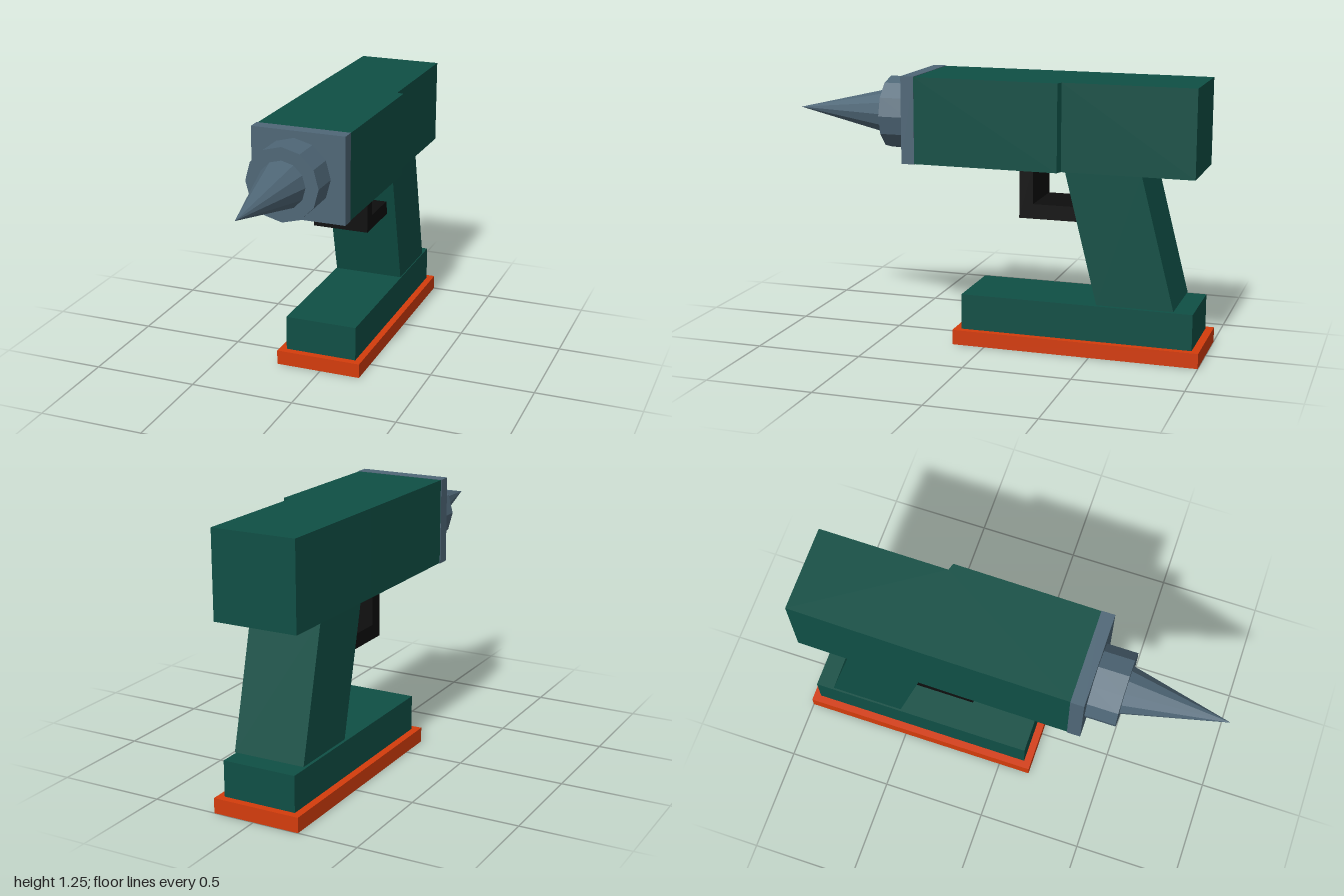
import * as THREE from 'three';

const paint = (name, color) => {
  const m = new THREE.MeshStandardMaterial({ color, flatShading: true });
  m.name = name;
  return m;
};

export function createModel() {
  const green = paint('dark green', 0x0f4f45);
  const slate = paint('slate grey', 0x4f6777);
  const orange = paint('orange', 0xd43c0c);
  const black = paint('black', 0x0e0e0e);

  const group = new THREE.Group();
  group.name = 'powerDrill';
  const add = (name, geometry, material) => {
    const mesh = new THREE.Mesh(geometry, material);
    mesh.name = name;
    group.add(mesh);
  };
  const extrude = (points, depth) => new THREE.ExtrudeGeometry(
    new THREE.Shape(points.map(([a, b]) => new THREE.Vector2(a, b))),
    { depth, bevelEnabled: false });

  // Box given by its limits on each axis
  const block = (x0, x1, y0, y1, z0, z1) =>
    new THREE.BoxGeometry(x1 - x0, y1 - y0, z1 - z0)
      .translate((x0 + x1) / 2, (y0 + y1) / 2, (z0 + z1) / 2);
  // Side profile of [z, y] points, swept from x0 to x1
  const sideProfile = (points, x0, x1) =>
    extrude(points, x1 - x0).rotateY(-Math.PI / 2).translate(x1, 0, 0);
  // Footprint of [x, z] points, raised from y0 to y1
  const footprint = (points, y0, y1) =>
    extrude(points.map(([x, z]) => [x, -z]), y1 - y0).rotateX(-Math.PI / 2).translate(0, y0, 0);

  // Battery foot
  add('footPlate', block(-0.22, 0.197, 0, 0.07, -1, 0.155), orange);
  add('battery', block(-0.185, 0.165, 0.07, 0.237, -0.965, 0.12), green);

  // Slanted grip and L-shaped trigger guard
  add('handle', sideProfile(
    [[-0.525, 0.243], [-0.372, 0.85], [-0.722, 0.85], [-0.878, 0.243]], -0.178, 0.165), green);
  add('triggerGuard', sideProfile(
    [[-0.147, 0.85], [-0.147, 0.612], [-0.48, 0.612], [-0.48, 0.68], [-0.212, 0.68], [-0.212, 0.85]],
    -0.15, 0.122), black);

  // Motor housing, stepped on its left side
  add('housing', footprint(
    [[-0.222, 0.328], [0.215, 0.328], [0.222, -0.35], [0.189, -0.36], [0.193, -0.965],
      [-0.206, -0.965], [-0.215, -0.35]], 0.85, 1.25), green);

  // Nose plate, chuck and pointed bit
  add('nosePlate', block(-0.225, 0.216, 0.848, 1.252, 0.328, 0.39), slate);
  add('chuck', new THREE.CylinderGeometry(0.17, 0.17, 0.14, 12)
    .rotateX(Math.PI / 2).translate(-0.022, 1.05, 0.46), slate);
  add('bit', new THREE.ConeGeometry(0.11, 0.47, 12)
    .rotateX(Math.PI / 2).translate(-0.022, 1.05, 0.765), slate);

  return group;
}
